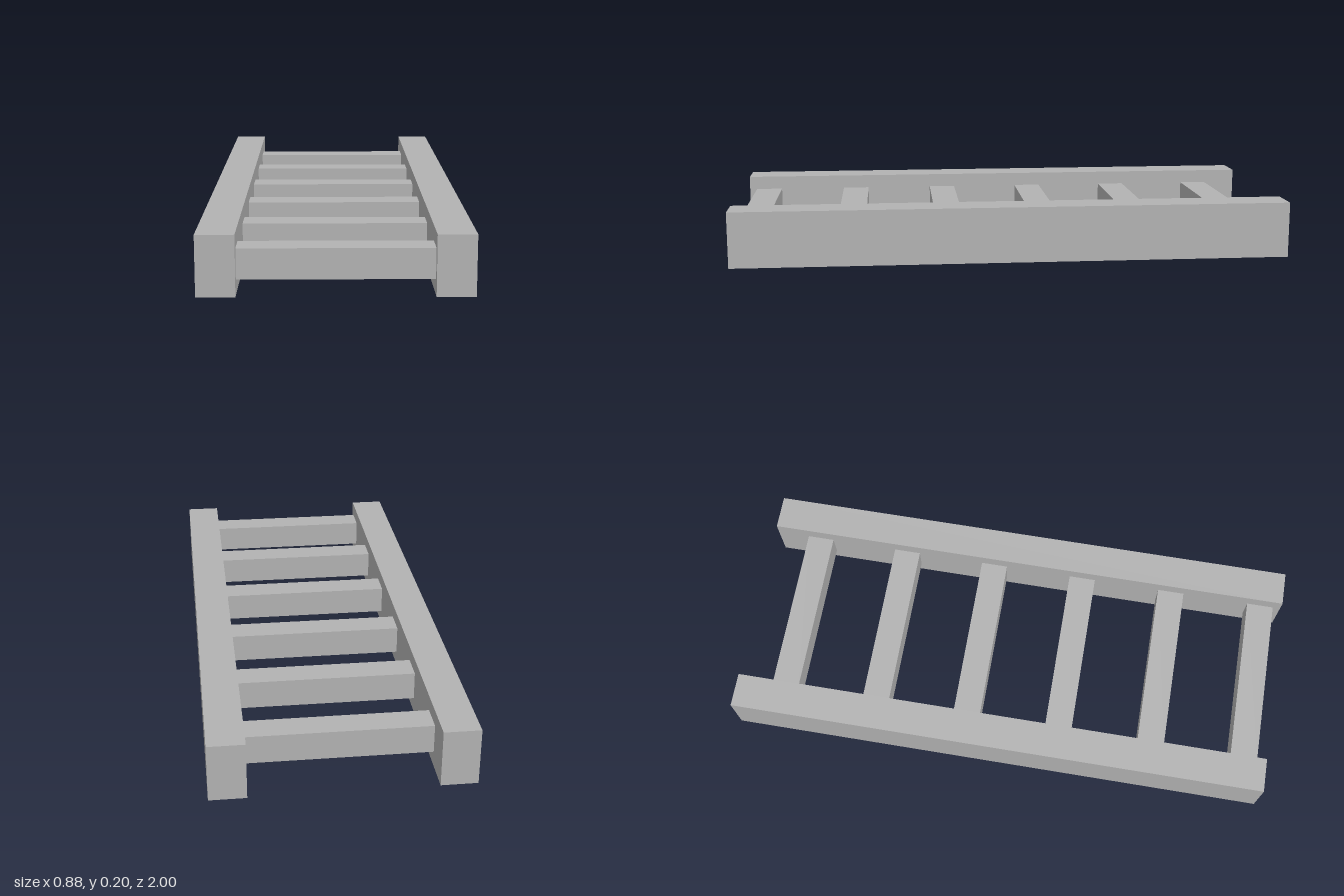
import * as THREE from 'three';

export function createModel() {
  const model = new THREE.Group();
  model.name = 'ladder';
  const grey = new THREE.MeshStandardMaterial({ color: 0xb2b2b2 });
  grey.name = 'plain grey';

  const addBox = (name, size, position) => {
    const mesh = new THREE.Mesh(new THREE.BoxGeometry(...size), grey);
    mesh.name = name;
    mesh.position.set(...position);
    model.add(mesh);
  };

  // Side rails
  const railWidth = 0.125, railX = 0.375;
  addBox('leftRail', [railWidth, 0.2, 2], [railX, 0.1, 0]);
  addBox('rightRail', [railWidth, 0.2, 2], [-railX, 0.1, 0]);

  // Evenly spaced rungs, fitted between the rails
  const rungLength = 2 * railX - railWidth;
  for (let i = 0; i < 6; i++) {
    addBox(`rung${i + 1}`, [rungLength, 0.1, 0.1], [0, 0.1, -0.828 + i * 0.35]);
  }
  return model;
}
